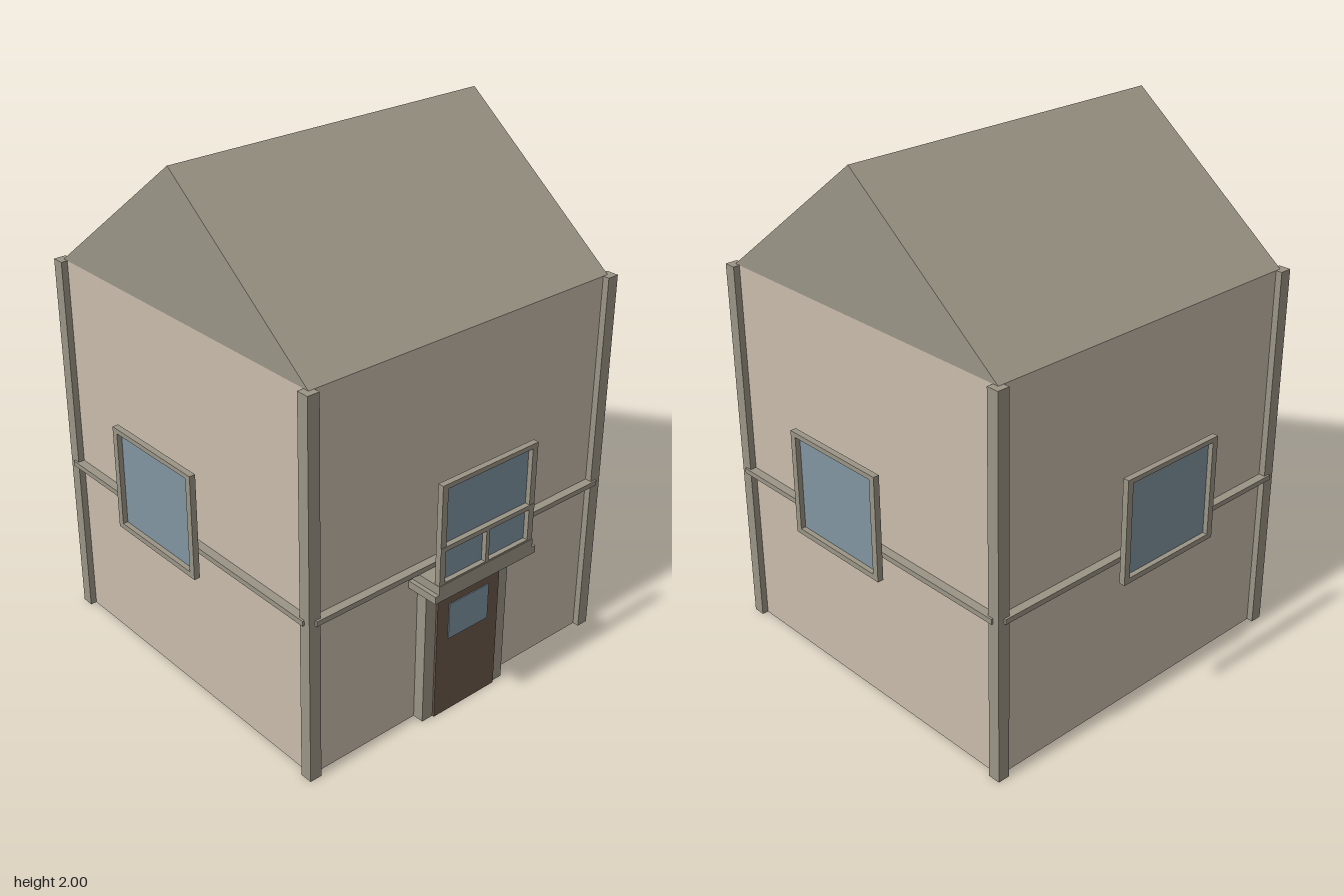
import * as THREE from 'three';

const mat = (color) => new THREE.MeshStandardMaterial({ color });

export function createModel() {
  const model = new THREE.Group();
  model.name = 'house';
  const wall = mat(0xc8bcab), trim = mat(0x9b9486), roofMat = mat(0x9b9486);
  const glass = mat(0x8094a0), wood = mat(0x6d594a);
  const H = 0.682, EAVE = 1.475;

  // Box given by its min and max along each axis
  function box(name, material, [x0, x1], [y0, y1], [z0, z1], parent = model) {
    const mesh = new THREE.Mesh(new THREE.BoxGeometry(x1 - x0, y1 - y0, z1 - z0), material);
    mesh.position.set((x0 + x1) / 2, (y0 + y1) / 2, (z0 + z1) / 2);
    mesh.name = name;
    parent.add(mesh);
    return mesh;
  }

  // Main block
  box('walls', wall, [-H, H], [0, EAVE], [-H, H]);

  // Gabled roof, ridge along x
  const gable = new THREE.Shape([
    new THREE.Vector2(-H, EAVE), new THREE.Vector2(H, EAVE), new THREE.Vector2(0, 2),
  ]);
  const roofGeo = new THREE.ExtrudeGeometry(gable, { depth: 2 * H, bevelEnabled: false });
  roofGeo.translate(0, 0, -H).rotateY(Math.PI / 2);
  const roof = new THREE.Mesh(roofGeo, roofMat);
  roof.name = 'roof';
  model.add(roof);

  // Corner posts
  for (const sx of [-1, 1]) {
    for (const sz of [-1, 1]) {
      const post = box('cornerPost', trim, [-0.024, 0.024], [0, EAVE], [-0.024, 0.024]);
      post.position.x = sx * 0.683;
      post.position.z = sz * 0.683;
    }
  }

  // Each side: a belt course and a window standing proud of the wall
  const sides = ['front', 'left', 'back', 'right'];
  sides.forEach((side, i) => {
    const group = new THREE.Group();
    group.name = side + 'Side';
    group.rotation.y = i * Math.PI / 2;
    model.add(group);
    box('beltCourse', trim, [-H, H], [0.635, 0.655], [H - 0.01, 0.715], group);

    const z = [0.788, 0.811];
    box('windowGlass', glass, [-0.202, 0.202], [0.64, 1.01], [0.777, 0.792], group);
    box('frameTop', trim, [-0.226, 0.226], [1.008, 1.026], z, group);
    box('frameBottom', trim, [-0.226, 0.226], [0.621, 0.642], z, group);
    for (const s of [-1, 1]) {
      const stile = box('frameStile', trim, [-0.0125, 0.0125], [0.642, 1.008], z, group);
      stile.position.x = s * 0.2135;
    }
    if (side === 'front') {
      box('windowRail', trim, [-0.226, 0.226], [0.767, 0.785], [0.788, 0.813], group);
      box('windowMullion', trim, [-0.008, 0.008], [0.642, 0.767], z, group);
    }
  });

  // Doorway with canopy
  const doorway = new THREE.Group();
  doorway.name = 'doorway';
  model.add(doorway);
  box('doorSurround', trim, [-0.202, 0.202], [0, 0.573], [H - 0.01, 0.726], doorway);
  box('door', wood, [-0.152, 0.152], [0, 0.507], [0.7, 0.734], doorway);
  box('doorGlass', glass, [-0.097, 0.097], [0.32, 0.466], [0.72, 0.738], doorway);
  box('canopyLower', trim, [-0.245, 0.245], [0.573, 0.602], [H - 0.01, 0.813], doorway);
  box('canopyUpper', trim, [-0.228, 0.228], [0.602, 0.636], [H - 0.01, 0.813], doorway);

  return model;
}
